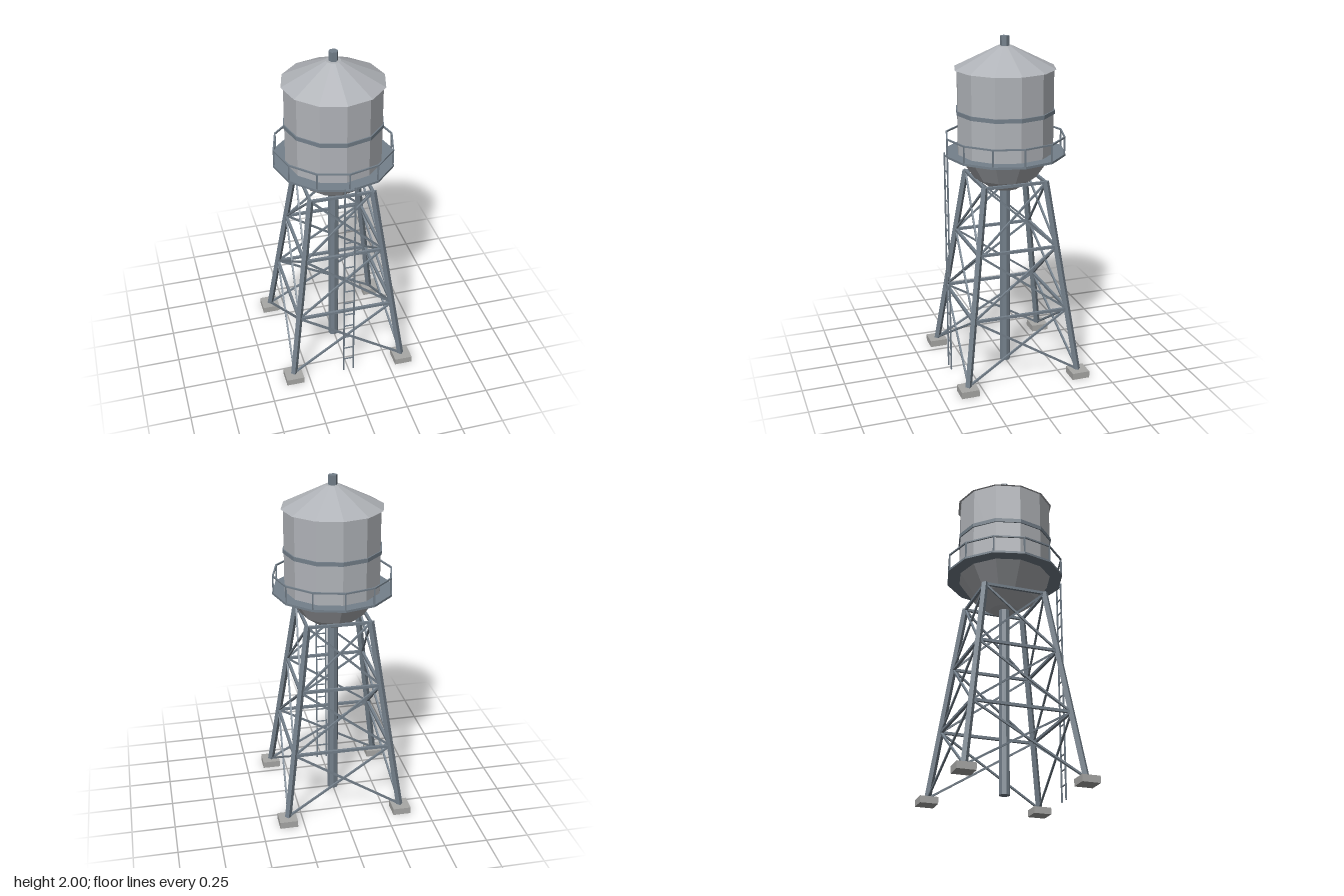
import * as THREE from 'three';

const flat = (name, color) => {
  const m = new THREE.MeshStandardMaterial({ color, flatShading: true });
  m.name = name;
  return m;
};

export function createModel() {
  const model = new THREE.Group();
  model.name = 'waterTower';
  const tankMetal = flat('tank metal', 0xb0b3b8);
  const steel = flat('blue grey steel', 0x74808b);
  const concrete = flat('concrete', 0xa8a8a6);

  const group = (name) => {
    const g = new THREE.Group();
    g.name = name;
    model.add(g);
    return g;
  };
  const add = (parent, name, geometry, material) => {
    const mesh = new THREE.Mesh(geometry, material);
    mesh.name = name;
    parent.add(mesh);
    return mesh;
  };
  // Twelve-sided turned part; the profile runs up the outside
  const turned = (parent, name, profile, material) =>
    add(parent, name, new THREE.LatheGeometry(profile.map(([r, y]) => new THREE.Vector2(r, y)), 12), material);
  // Closed ring of rectangular section
  const ring = (parent, name, r0, r1, y0, y1) =>
    turned(parent, name, [[r0, y0], [r1, y0], [r1, y1], [r0, y1], [r0, y0]], steel);
  // Square bar between two points
  const bar = (parent, name, a, b, w) => {
    const axis = b.clone().sub(a);
    const length = axis.length();
    axis.normalize();
    const ref = Math.abs(axis.y) > 0.999 ? new THREE.Vector3(0, 0, 1) : new THREE.Vector3(0, 1, 0);
    const side = axis.clone().cross(ref).normalize();
    const depth = side.clone().cross(axis);
    const mesh = add(parent, name, new THREE.BoxGeometry(w, length, w), steel);
    mesh.quaternion.setFromRotationMatrix(new THREE.Matrix4().makeBasis(side, axis, depth));
    mesh.position.copy(a).lerp(b, 0.5);
  };
  const v = (x, y, z) => new THREE.Vector3(x, y, z);

  // Tank, roof and trim
  const tank = group('tank');
  turned(tank, 'tankBowl', [[0, 1.12], [0.085, 1.12], [0.185, 1.19], [0.28, 1.33]], tankMetal);
  turned(tank, 'tankWall', [[0.28, 1.33], [0.28, 1.825]], tankMetal);
  turned(tank, 'roof', [[0, 1.82], [0.293, 1.82], [0.042, 1.945], [0, 1.945]], tankMetal);
  ring(tank, 'tankBand', 0.27, 0.287, 1.567, 1.59);
  const vent = add(tank, 'roofVent', new THREE.CylinderGeometry(0.027, 0.027, 0.07, 6), steel);
  vent.rotation.y = Math.PI / 6;
  vent.position.y = 1.965;

  // Central riser pipe
  const riser = add(model, 'riserPipe', new THREE.CylinderGeometry(0.032, 0.032, 1.14, 8), steel);
  riser.position.y = 0.57;

  // Walkway with railing
  const walkway = group('walkway');
  ring(walkway, 'walkwayDeck', 0.265, 0.351, 1.324, 1.337);
  ring(walkway, 'topRail', 0.341, 0.35, 1.429, 1.438);
  for (let i = 0; i < 12; i++) {
    const a = (i / 12) * Math.PI * 2;
    const x = 0.345 * Math.sin(a), z = 0.345 * Math.cos(a);
    bar(walkway, 'railPost', v(x, 1.335, z), v(x, 1.434, z), 0.008);
  }

  // Legs, footings and bracing on the four sides
  const frame = group('frame');
  const corner = (i, t) => {
    const r = THREE.MathUtils.lerp(0.339, 0.184, t);
    const x = i === 0 || i === 3 ? r : -r;
    const z = i < 2 ? r : -r;
    return v(x, 0.04 + 1.14 * t, z);
  };
  for (let i = 0; i < 4; i++) {
    const j = (i + 1) % 4;
    const foot = add(frame, 'footing', new THREE.BoxGeometry(0.106, 0.04, 0.106), concrete);
    foot.position.copy(corner(i, 0)).setY(0.02);
    foot.position.x = Math.sign(foot.position.x) * 0.343;
    foot.position.z = Math.sign(foot.position.z) * 0.343;
    bar(frame, 'leg', corner(i, -0.01), corner(i, 1.005), 0.028);
    for (let k = 0; k < 3; k++) {
      const lo = k / 3, hi = (k + 1) / 3;
      bar(frame, 'crossBeam', corner(i, hi), corner(j, hi), 0.016);
      bar(frame, 'brace', corner(i, lo), corner(j, hi), 0.011);
      bar(frame, 'brace', corner(j, lo), corner(i, hi), 0.011);
    }
  }

  // Ladder up the front
  const ladder = group('ladder');
  for (const x of [-0.03, 0.03]) bar(ladder, 'ladderRail', v(x, 0, 0.354), v(x, 1.35, 0.354), 0.008);
  for (let i = 0; i < 15; i++) {
    const y = 0.09 + i * 0.089;
    bar(ladder, 'rung', v(-0.03, y, 0.354), v(0.03, y, 0.354), 0.006);
  }

  return model;
}
